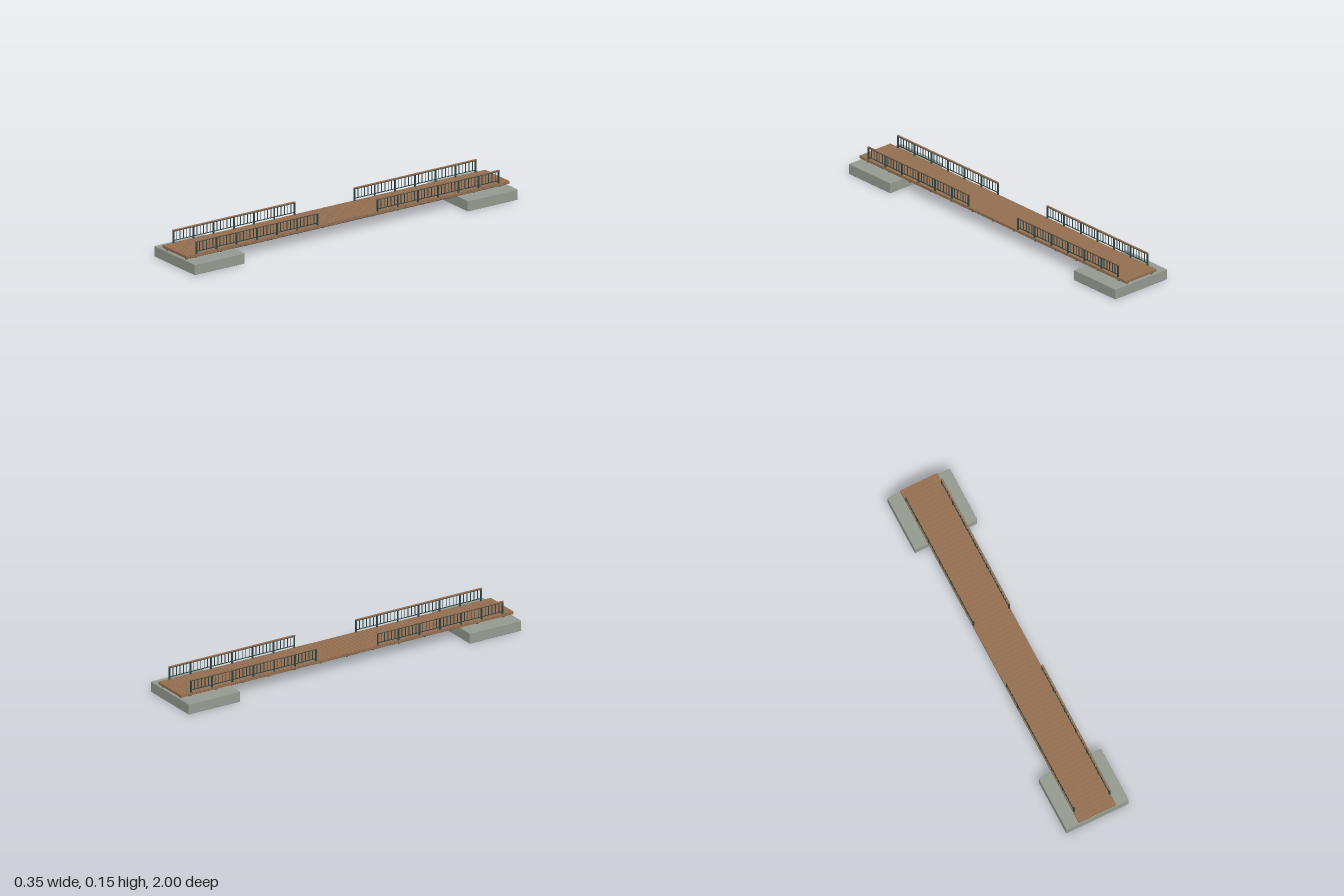
import * as THREE from 'three';
import { mergeGeometries } from 'three/addons/utils/BufferGeometryUtils.js';
import { RoundedBoxGeometry } from 'three/addons/geometries/RoundedBoxGeometry.js';

const flat = (name, color) => Object.assign(new THREE.MeshStandardMaterial({ color }), { name });

// Box given by its centre x, bottom and top y, centre z, width and length
const box = (x, y0, y1, z, w, l) =>
  new THREE.BoxGeometry(w, y1 - y0, l).translate(x, (y0 + y1) / 2, z);

export function createModel() {
  const wood = flat('wood', 0x946f50);
  const steel = flat('darkSteel', 0x304647);
  const concrete = flat('concrete', 0x949a90);
  const bridge = new THREE.Group();
  bridge.name = 'footbridge';

  const add = (parent, name, geometry, material) => {
    const mesh = new THREE.Mesh(geometry, material);
    mesh.name = name;
    parent.add(mesh);
    return mesh;
  };

  // Concrete abutments under both ends
  for (const s of [1, -1]) {
    const slab = new RoundedBoxGeometry(0.354, 0.057, 0.31, 1, 0.003);
    add(bridge, s > 0 ? 'frontAbutment' : 'backAbutment', slab, concrete)
      .position.set(0, 0.0285, s * 0.845);
  }

  // Deck planks laid across with narrow gaps
  const planks = [];
  const count = 84, pitch = 2 / count;
  for (let i = 0; i < count; i++) {
    planks.push(box(0, 0.067, 0.081, -1 + (i + 0.5) * pitch, 0.211, pitch - 0.0016));
  }
  add(bridge, 'deckPlanks', mergeGeometries(planks), wood);

  // Long girders and cross beams below the deck
  const girders = [-0.081, 0.081].map((x) => box(x, 0.056, 0.067, 0, 0.009, 1.98));
  add(bridge, 'girders', mergeGeometries(girders), steel);
  const beams = [];
  for (let i = 0; i < 13; i++) {
    beams.push(box(0, 0.062, 0.0675, -0.94 + i * 0.1567, 0.206, 0.011));
  }
  add(bridge, 'crossBeams', mergeGeometries(beams), steel);

  // Four railing runs, leaving the middle of the span open
  const bays = 6, start = 0.186, bay = 0.125, bars = 5;
  const length = bays * bay, middle = start + length / 2;
  for (const side of [1, -1]) {
    for (const end of [1, -1]) {
      const railing = new THREE.Group();
      railing.name = (end > 0 ? 'front' : 'back') + (side > 0 ? 'Left' : 'Right') + 'Railing';
      const x = side * 0.1005;
      const posts = [], balusters = [];
      for (let i = 0; i <= bays; i++) {
        const z = start + i * bay;
        posts.push(box(x, 0.078, 0.146, end * z, 0.007, 0.007));
        if (i === bays) continue;
        for (let j = 1; j <= bars; j++) {
          balusters.push(box(x, 0.093, 0.144, end * (z + (j * bay) / (bars + 1)), 0.003, 0.003));
        }
      }
      const rails = [
        box(x, 0.092, 0.0955, end * middle, 0.004, length),
        box(x, 0.142, 0.1465, end * middle, 0.005, length),
      ];
      add(railing, 'posts', mergeGeometries(posts), steel);
      add(railing, 'balusters', mergeGeometries(balusters), steel);
      add(railing, 'rails', mergeGeometries(rails), steel);
      add(railing, 'handrail', box(x, 0.1462, 0.151, end * middle, 0.009, length + 0.008), wood);
      bridge.add(railing);
    }
  }
  return bridge;
}
